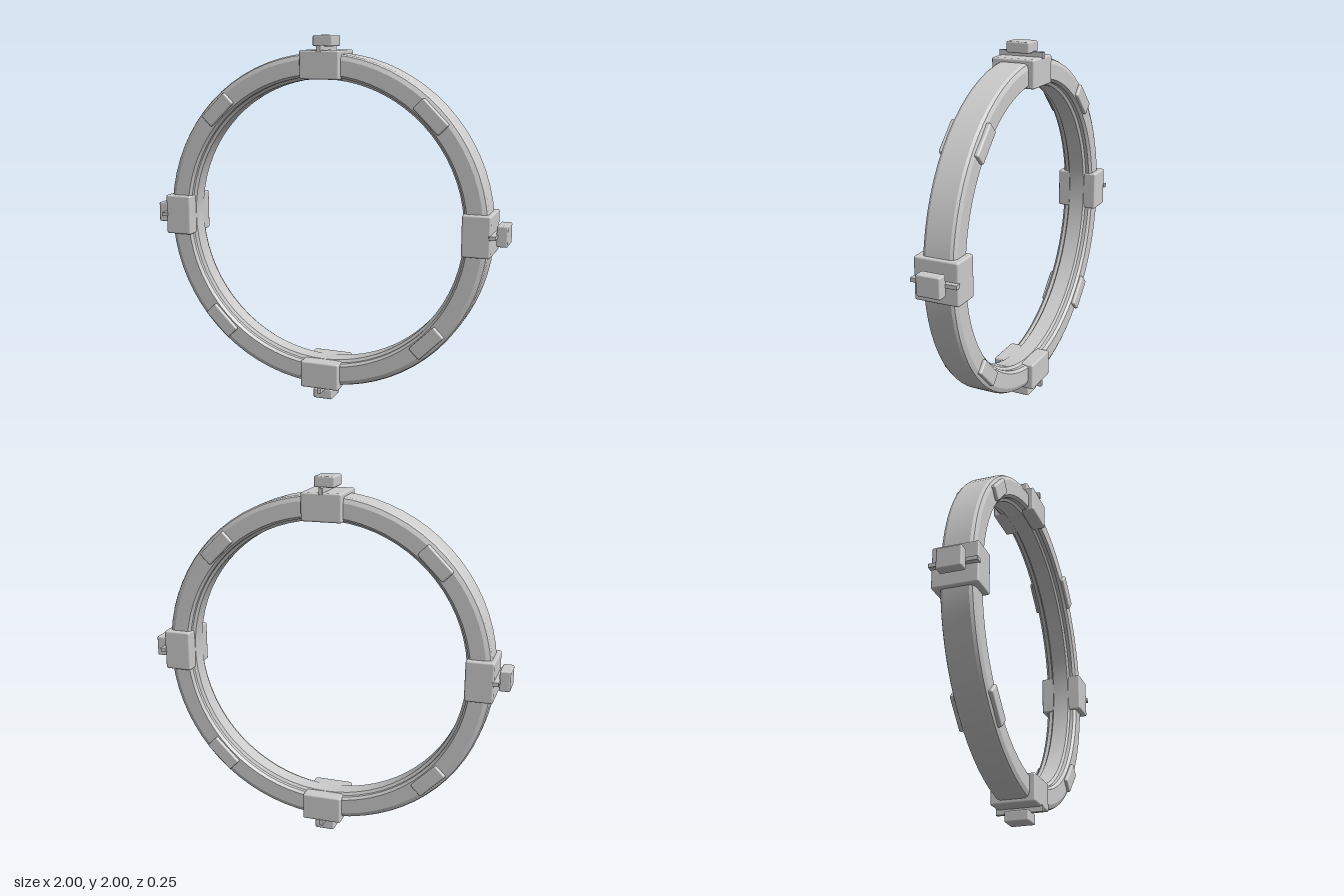
import * as THREE from 'three';
import { RoundedBoxGeometry } from 'three/addons/geometries/RoundedBoxGeometry.js';
import { toCreasedNormals } from 'three/addons/utils/BufferGeometryUtils.js';

const material = new THREE.MeshStandardMaterial({ color: 0xcccccc });

function box(name, w, h, d, x, y, z, bevel) {
  const mesh = new THREE.Mesh(new RoundedBoxGeometry(w, h, d, 2, bevel), material);
  mesh.name = name;
  mesh.position.set(x, y, z);
  return mesh;
}

// Chamfered band with a stepped inner lip, revolved about z
function createRing() {
  const half = [[0.91, 0.065], [0.903, 0.08], [0.88, 0.09], [0.80, 0.09], [0.787, 0.075], [0.787, 0.055], [0.772, 0.045]];
  const points = [
    ...half.map(([r, z]) => [r, -z]).reverse(),
    ...half,
    [half[6][0], -half[6][1]],
  ].map(([r, z]) => new THREE.Vector2(r, z));
  const geometry = toCreasedNormals(new THREE.LatheGeometry(points, 72), 0.35);
  geometry.rotateX(Math.PI / 2);
  const ring = new THREE.Mesh(geometry, material);
  ring.name = 'ring';
  return ring;
}

// Clamp block with a thin cross rail and an outer knob, built at the top of the ring
function createClamp() {
  const clamp = new THREE.Group();
  clamp.name = 'clamp';
  clamp.add(
    box('clampBlock', 0.22, 0.15, 0.24, 0, 0.848, 0, 0.01),
    box('clampRail', 0.022, 0.035, 0.25, 0, 0.932, 0, 0.002),
    box('clampKnob', 0.11, 0.058, 0.13, 0, 0.971, 0, 0.008),
  );
  return clamp;
}

// Raised plates on the front and back faces, between two clamps
function createPlates() {
  const plates = new THREE.Group();
  plates.name = 'platePair';
  for (const side of [1, -1]) {
    plates.add(box(side > 0 ? 'frontPlate' : 'backPlate', 0.19, 0.08, 0.04, 0, 0.845, side * 0.088, 0.009));
  }
  return plates;
}

export function createModel() {
  const model = new THREE.Group();
  model.name = 'clampedRing';
  model.position.y = 1;
  model.add(createRing());
  for (let i = 0; i < 4; i++) {
    const clamp = createClamp();
    clamp.rotation.z = i * Math.PI / 2;
    const plates = createPlates();
    plates.rotation.z = (i + 0.5) * Math.PI / 2;
    model.add(clamp, plates);
  }
  const root = new THREE.Group();
  root.add(model);
  return root;
}
